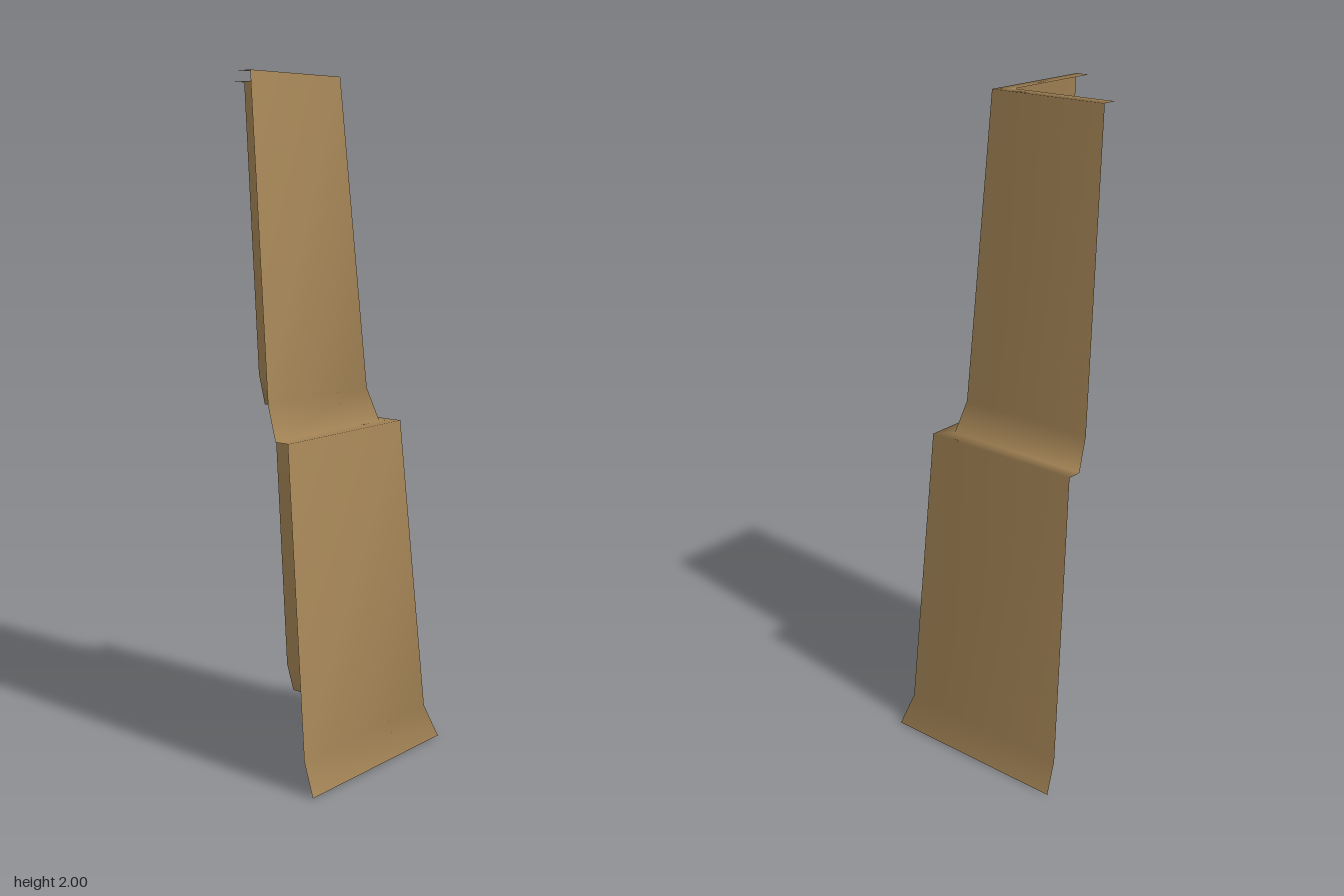
import * as THREE from 'three';

const stone = new THREE.MeshStandardMaterial({ color: 0xa68657, side: THREE.DoubleSide });
stone.name = 'tan stone';

// Wall section from the ground up: [distance out from the centre, height]
const profile = [
  [0.3, 0], [0.268, 0.1], [0.208, 1],       // flared foot and sloping lower wall
  [0.163, 1], [0.136, 1.1], [0.077, 2],     // ledge, second foot and upper wall
  [0.033, 2],                               // top lip
];
const END = 0.3;

// Sweep the section along the back, round the corner and along the left side
function cornerSheet() {
  const positions = [];
  const index = [];
  for (const [d, y] of profile) {
    positions.push(-END, y, -d, d, y, -d, d, y, END);
  }
  for (let i = 0; i < profile.length - 1; i++) {
    for (let j = 0; j < 2; j++) {
      const a = i * 3 + j, b = a + 1, c = a + 3, e = a + 4;
      index.push(a, c, b, b, c, e);
    }
  }
  const geometry = new THREE.BufferGeometry();
  geometry.setAttribute('position', new THREE.Float32BufferAttribute(positions, 3));
  geometry.setIndex(index);
  geometry.computeVertexNormals();
  return geometry;
}

export function createModel() {
  const group = new THREE.Group();
  group.name = 'steppedWallCorner';
  const wall = new THREE.Mesh(cornerSheet(), stone);
  wall.name = 'cornerWall';
  group.add(wall);
  return group;
}
